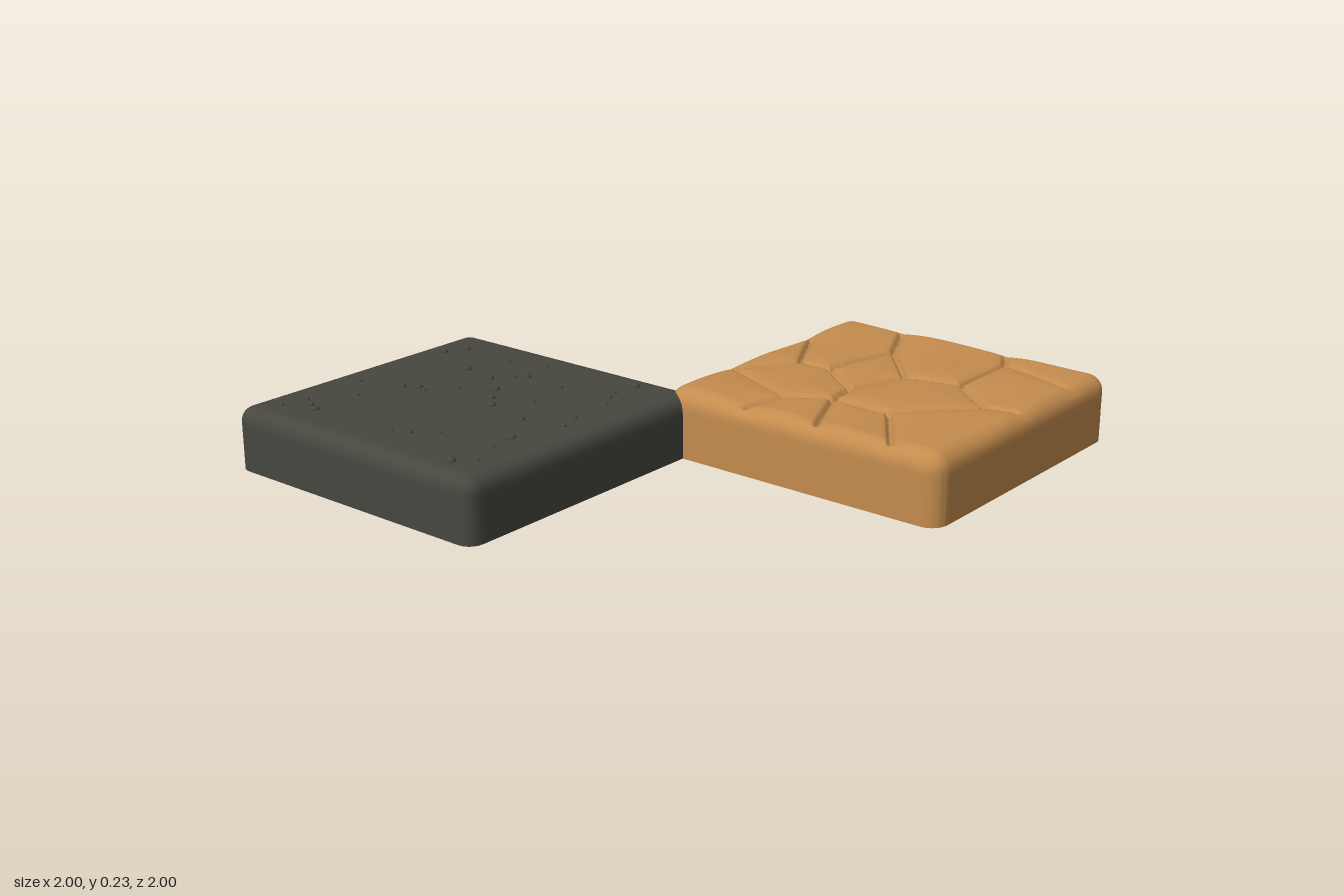
import * as THREE from 'three';
import { toCreasedNormals } from 'three/addons/utils/BufferGeometryUtils.js';

const clamp = THREE.MathUtils.clamp;
const SIZE = 1.04;

// Box with a rounded top rim and rounded upright corners, flat underneath.
// relief(x, z) moves the top surface up or down, fading out over the rim.
function slabGeometry(cx, cz, height, radius, segments, relief) {
  const geo = new THREE.BoxGeometry(SIZE, height, SIZE, segments, 14, segments);
  geo.translate(0, height / 2, 0);
  const pos = geo.attributes.position;
  const p = new THREE.Vector3(), core = new THREE.Vector3();
  const inner = SIZE / 2 - radius;
  for (let i = 0; i < pos.count; i++) {
    p.fromBufferAttribute(pos, i);
    core.set(clamp(p.x, -inner, inner), Math.min(p.y, height - radius), clamp(p.z, -inner, inner));
    p.sub(core);
    const len = p.length();
    if (len > 1e-6) p.multiplyScalar(Math.max(Math.abs(p.x), Math.abs(p.y), Math.abs(p.z)) / len);
    p.add(core);
    p.x += cx;
    p.z += cz;
    const fade = THREE.MathUtils.smoothstep(p.y, height - radius, height);
    if (relief && fade > 0) p.y += fade * relief(p.x, p.z);
    pos.setXYZ(i, p.x, p.y, p.z);
  }
  return toCreasedNormals(geo, 1.0);
}

// Crack junctions on the sandstone top (x, z)
const J = {
  a: [0.28, 0.0], b: [0.145, 0.31], c: [0.0, 0.265], d: [0.225, 0.44], e: [0.0, 0.535],
  f: [0.34, 0.425], g: [0.47, 0.25], h: [0.465, 0.135], j: [0.715, 0.0], k: [0.77, 0.305],
  l: [0.95, 0.22], m: [0.55, 0.495], n: [0.6, 0.675], o: [0.88, 0.675], q: [0.957, 0.635],
  p: [0.225, 0.65], r: [0.0, 0.805], s: [0.455, 0.855], t: [0.475, 0.955], u: [0.79, 0.945],
};
const CRACKS = 'ab bc bd de df fg gh ha hj gk kl km fm mn no oq dp pr ps sn st ou'
  .split(' ')
  .map(([from, to]) => new THREE.Line3(
    new THREE.Vector3(J[from][0], 0, J[from][1]),
    new THREE.Vector3(J[to][0], 0, J[to][1])));

// Pillowed stones with narrow grooves between them
const point = new THREE.Vector3(), nearest = new THREE.Vector3();
function crackRelief(x, z) {
  point.set(x, 0, z);
  let d = 1;
  for (const line of CRACKS) {
    line.closestPointToPoint(point, true, nearest);
    d = Math.min(d, nearest.distanceTo(point));
  }
  const groove = 1 - THREE.MathUtils.smoothstep(d, 0.003, 0.015);
  const swell = 0.003 * Math.sin(x * 13 + z * 5) * Math.cos(z * 11 - x * 4);
  return swell - 0.011 * Math.exp(-d / 0.05) - 0.017 * groove;
}

// Grit on the dark slab: x, z, radius
const GRIT = [
  [-0.90, -0.89, 0.009], [-0.81, -0.87, 0.007], [-0.84, -0.82, 0.011], [-0.86, -0.78, 0.016],
  [-0.68, -0.78, 0.007], [-0.58, -0.88, 0.007], [-0.53, -0.73, 0.012], [-0.50, -0.69, 0.016],
  [-0.51, -0.65, 0.008], [-0.27, -0.70, 0.015], [-0.25, -0.71, 0.008], [-0.18, -0.90, 0.014],
  [-0.11, -0.86, 0.014], [-0.12, -0.65, 0.007], [-0.29, -0.57, 0.011], [-0.43, -0.58, 0.009],
  [-0.23, -0.52, 0.008], [-0.20, -0.49, 0.016], [-0.09, -0.51, 0.007], [-0.36, -0.48, 0.016],
  [-0.43, -0.43, 0.014], [-0.48, -0.38, 0.016], [-0.37, -0.30, 0.009], [-0.21, -0.33, 0.008],
  [-0.84, -0.45, 0.007], [-0.82, -0.39, 0.011], [-0.76, -0.32, 0.007], [-0.52, -0.21, 0.011],
  [-0.91, -0.12, 0.016], [-0.86, -0.06, 0.007], [-0.75, -0.11, 0.007], [-0.66, -0.12, 0.016],
  [-0.48, -0.07, 0.009], [-0.41, -0.09, 0.010], [-0.24, -0.11, 0.007], [-0.19, -0.14, 0.011],
  [-0.14, -0.16, 0.008], [-0.05, -0.15, 0.017],
];

export function createModel() {
  const model = new THREE.Group();
  model.name = 'groundTiles';
  const sandstone = new THREE.MeshStandardMaterial({ color: 0xc48c4e });
  sandstone.name = 'sandstone';
  const asphalt = new THREE.MeshStandardMaterial({ color: 0x474740 });
  asphalt.name = 'asphalt';

  // Cracked sandstone tile, front left
  const stoneTile = new THREE.Mesh(slabGeometry(0.48, 0.48, 0.23, 0.06, 140, crackRelief), sandstone);
  stoneTile.name = 'crackedStoneTile';
  model.add(stoneTile);

  // Dark gritty tile, back right
  const darkTile = new THREE.Group();
  darkTile.name = 'asphaltTile';
  const darkTop = 0.208;
  const slab = new THREE.Mesh(slabGeometry(-0.48, -0.48, darkTop, 0.05, 60), asphalt);
  slab.name = 'asphaltSlab';
  darkTile.add(slab);

  // Small half-sunk pebbles
  const pebble = new THREE.SphereGeometry(1, 10, 6);
  for (const [x, z, r] of GRIT) {
    const grit = new THREE.Mesh(pebble, asphalt);
    grit.name = 'grit';
    grit.position.set(x, darkTop, z);
    grit.scale.set(r, Math.min(r, 0.012), r);
    darkTile.add(grit);
  }
  model.add(darkTile);
  return model;
}
